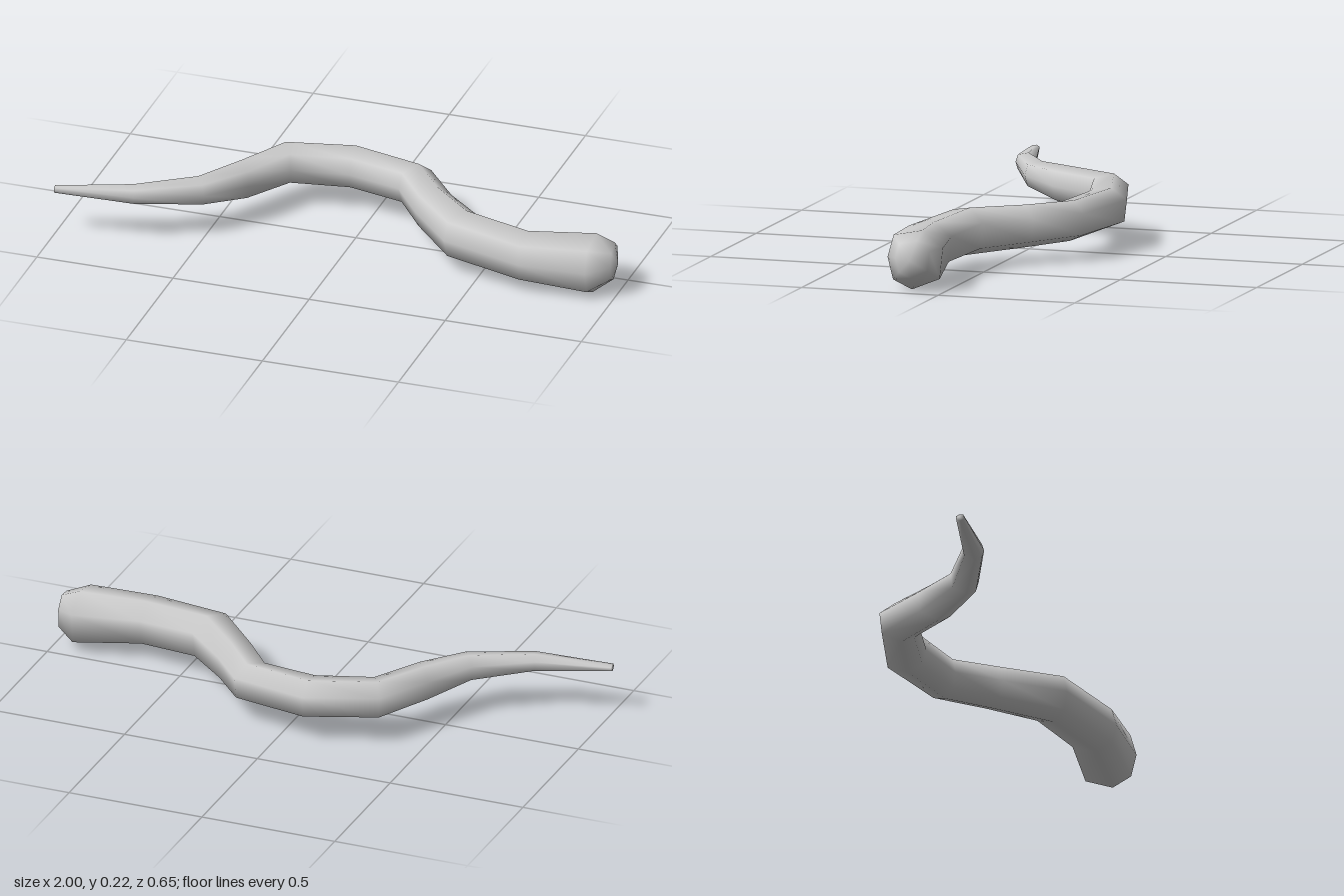
import * as THREE from 'three';

// Seven-sided cross-section: [sideways, up], running from the front edge over the top
const PROFILE = [[1, 0.05], [0.78, 0.8], [-0.25, 1], [-1, 0.45], [-0.88, -0.6], [0.12, -1], [0.8, -0.7]];

// Rings from thin tail to thick end: back edge x, z, front edge x, z, bottom y, top y
const RINGS = [
  [-1.0, 0.295, -0.998, 0.325, 0.165, 0.19],
  [-0.743, 0.22, -0.717, 0.289, 0.142, 0.209],
  [-0.556, 0.1, -0.497, 0.182, 0.118, 0.218],
  [-0.46, -0.06, -0.38, 0.043, 0.09, 0.224],
  [-0.353, -0.246, -0.283, -0.128, 0.081, 0.226],
  [-0.096, -0.326, -0.086, -0.176, 0.072, 0.218],
  [0.187, -0.262, 0.107, -0.144, 0.065, 0.212],
  [0.31, -0.118, 0.214, -0.01, 0.052, 0.208],
  [0.46, 0.016, 0.38, 0.166, 0.043, 0.215],
  [0.674, 0.059, 0.674, 0.235, 0.03, 0.201],
  [0.914, 0.011, 0.914, 0.214, 0.003, 0.213],
  [0.975, 0.04, 0.99, 0.16, 0.055, 0.187],
];

function loftBody() {
  const n = PROFILE.length, last = RINGS.length - 1;
  const pos = [], index = [];
  for (const [bx, bz, fx, fz, y0, y1] of RINGS) {
    for (const [u, v] of PROFILE) {
      const t = (u + 1) / 2;
      pos.push(bx + (fx - bx) * t, (y0 + y1) / 2 + v * (y1 - y0) / 2, bz + (fz - bz) * t);
    }
  }
  // Skin between neighbouring rings
  for (let i = 0; i < last; i++) {
    for (let j = 0; j < n; j++) {
      const a = i * n + j, b = i * n + (j + 1) % n;
      index.push(a, a + n, b, b, a + n, b + n);
    }
  }
  // End caps: the tail tip and the blunt rounded end
  const tip = pos.length / 3, end = tip + 1;
  pos.push(-1, 0.178, 0.31, 1, 0.118, 0.105);
  for (let j = 0; j < n; j++) {
    const k = (j + 1) % n;
    index.push(tip, j, k, end, last * n + k, last * n + j);
  }
  const geo = new THREE.BufferGeometry();
  geo.setAttribute('position', new THREE.Float32BufferAttribute(pos, 3));
  geo.setIndex(index);
  geo.computeVertexNormals();
  return geo;
}

export function createModel() {
  const group = new THREE.Group();
  group.name = 'wavyTaperedBody';
  const body = new THREE.Mesh(loftBody(), new THREE.MeshStandardMaterial({ color: 0xcccccc }));
  body.name = 'body';
  group.add(body);
  return group;
}
